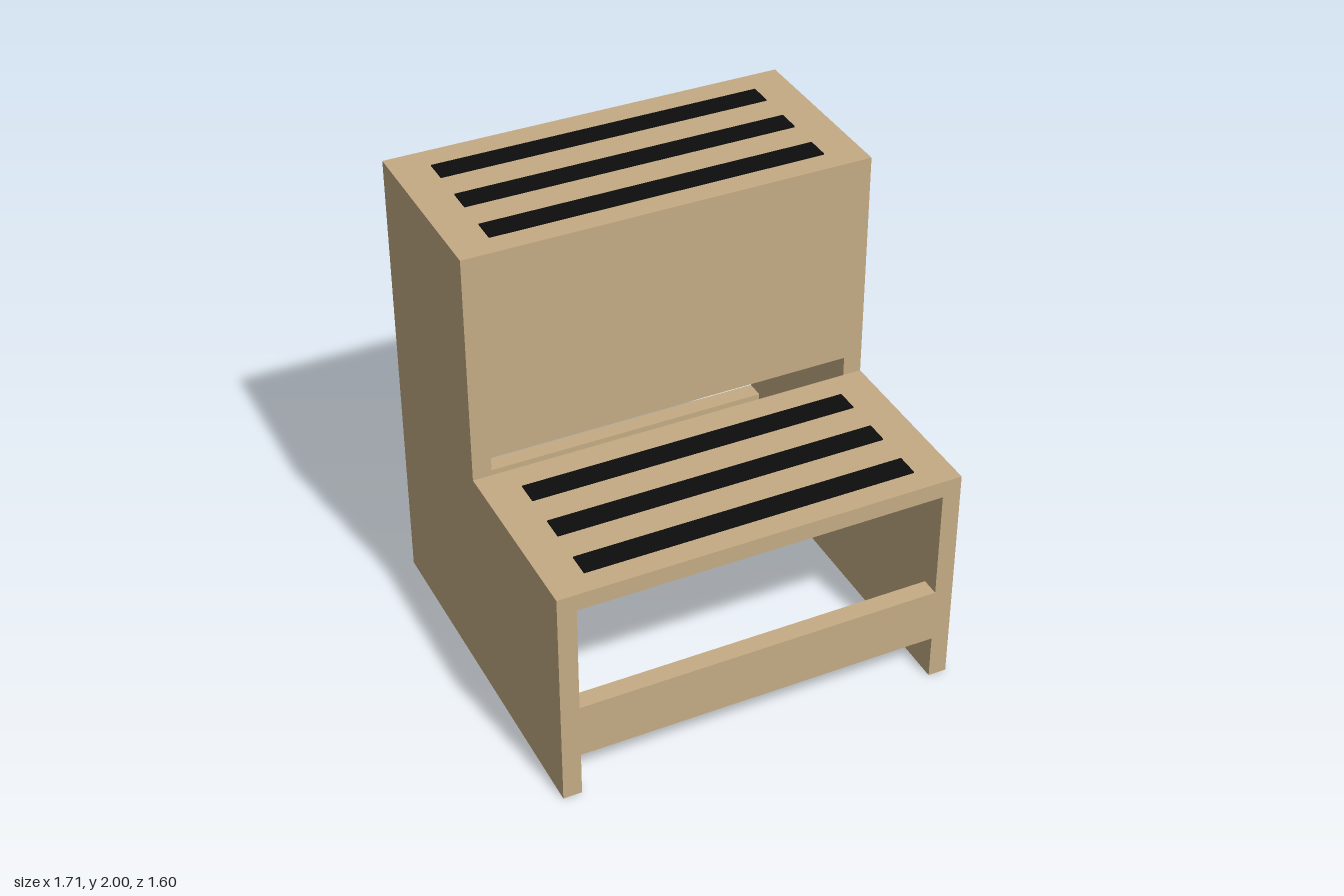
import * as THREE from 'three';

export function createModel() {
  const group = new THREE.Group();
  group.name = 'stepStool';

  const wood = new THREE.MeshStandardMaterial({ color: 0xc4ab84 });
  wood.name = 'wood';
  const grip = new THREE.MeshStandardMaterial({ color: 0x0d0d0d });
  grip.name = 'blackGrip';

  const outer = 0.855, inner = 0.776, depth = 0.8;
  const floor = 0.002, stepTop = 0.995, seatTop = 1.995, board = 0.075;

  // Box given by its lower and upper corners
  function box(name, material, [x0, y0, z0], [x1, y1, z1]) {
    const mesh = new THREE.Mesh(new THREE.BoxGeometry(x1 - x0, y1 - y0, z1 - z0), material);
    mesh.position.set((x0 + x1) / 2, (y0 + y1) / 2, (z0 + z1) / 2);
    mesh.name = name;
    group.add(mesh);
  }

  // L-shaped side panels: profile drawn as (-z, y), extruded along x
  const profile = new THREE.Shape([
    [-depth, floor], [depth, floor], [depth, seatTop], [0, seatTop], [0, stepTop], [-depth, stepTop],
  ].map(([x, y]) => new THREE.Vector2(x, y)));
  const panel = new THREE.ExtrudeGeometry(profile, { depth: outer - inner, bevelEnabled: false });
  panel.rotateY(Math.PI / 2);
  for (const [name, x] of [['leftPanel', inner], ['rightPanel', -outer]]) {
    const mesh = new THREE.Mesh(panel, wood);
    mesh.position.x = x;
    mesh.name = name;
    group.add(mesh);
  }

  // Treads, riser and cross rails between the panels
  box('lowerTread', wood, [-inner, stepTop - board, 0], [inner, stepTop, depth]);
  box('upperTread', wood, [-inner, seatTop - board, -depth], [inner, seatTop, 0]);
  box('riser', wood, [-inner, 1.08, -0.06], [inner, seatTop - board, 0]);
  box('frontRail', wood, [-inner, 0.2, depth - 0.08], [inner, 0.44, depth]);
  box('backRail', wood, [-inner, 0.2, -depth], [inner, 0.44, -depth + 0.08]);

  // Three grip strips on each tread
  for (const [name, top, first] of [['lowerGrip', stepTop, 0.17], ['upperGrip', seatTop, -0.63]]) {
    for (let i = 0; i < 3; i++) {
      const z = first + i * 0.24;
      box(name + (i + 1), grip, [-0.7, top, z - 0.05], [0.7, top + 0.006, z + 0.05]);
    }
  }

  // Small floor pads under the panel corners
  const pad = new THREE.CylinderGeometry(0.03, 0.03, floor, 16);
  for (const x of [-1, 1]) for (const z of [-1, 1]) {
    const mesh = new THREE.Mesh(pad, grip);
    mesh.position.set(x * (inner + outer) / 2, floor / 2, z * 0.71);
    mesh.name = 'floorPad';
    group.add(mesh);
  }

  return group;
}
